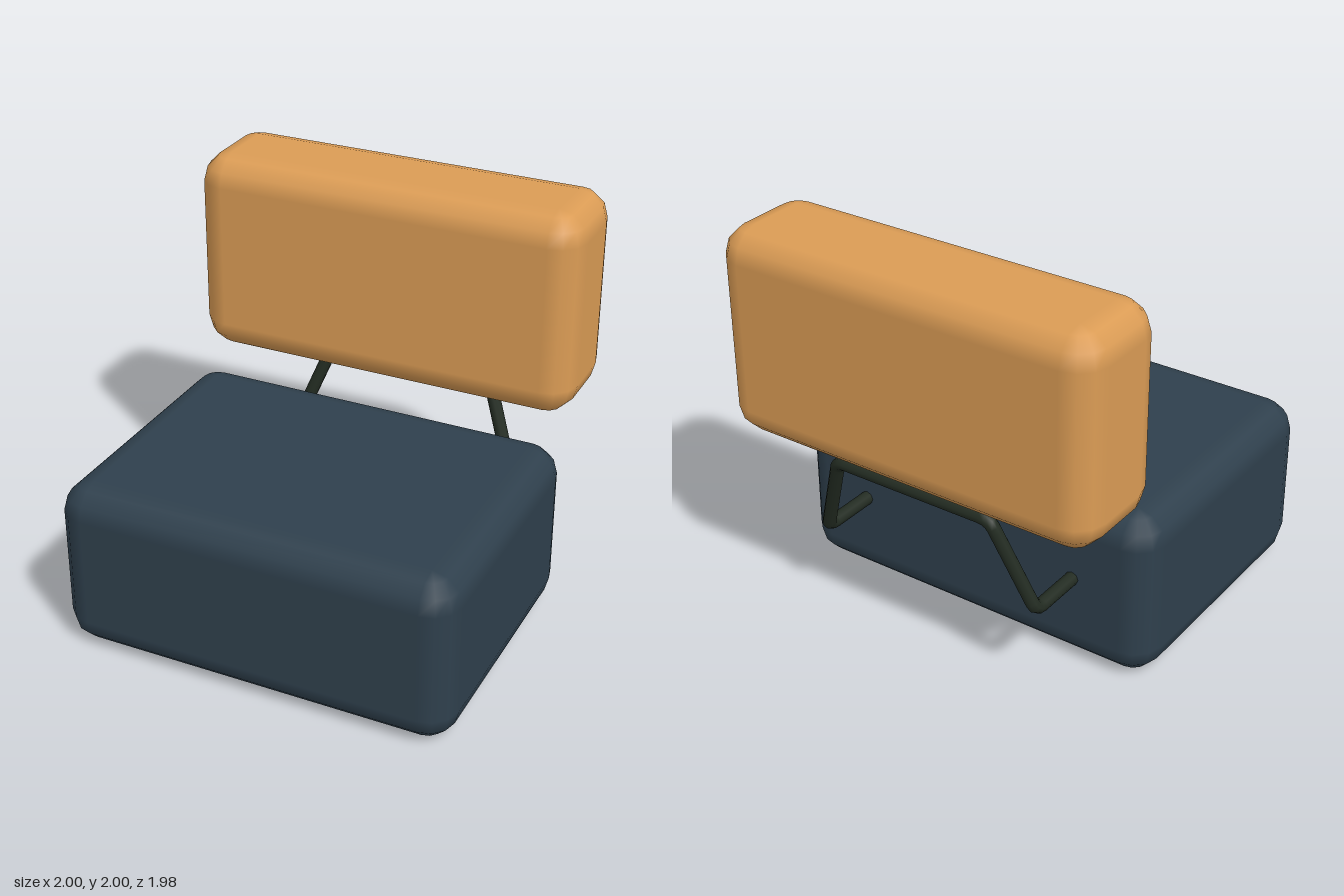
import * as THREE from 'three';

const seatBlue = new THREE.MeshStandardMaterial({ name: 'slateBlue', color: 0x2f404d });
const backTan = new THREE.MeshStandardMaterial({ name: 'tan', color: 0xdb9c55 });
const frameGreen = new THREE.MeshStandardMaterial({ name: 'darkGreen', color: 0x232c22 });

// Rounded block: stacked rounded-rectangle rings, each corner arc in three 30 degree steps
function cushionGeometry(w, h, d, r) {
  const pos = [], nor = [], idx = [];
  const step = Math.PI / 6;
  for (let row = 0; row < 8; row++) {
    const upper = row > 3;
    const lat = (upper ? row - 4 : row - 3) * step;
    for (let corner = 0; corner < 4; corner++) {
      const sx = corner === 0 || corner === 3 ? 1 : -1;
      const sz = corner < 2 ? 1 : -1;
      for (let k = 0; k < 4; k++) {
        const a = corner * Math.PI / 2 + k * step;
        const n = [Math.cos(lat) * Math.cos(a), Math.sin(lat), Math.cos(lat) * Math.sin(a)];
        nor.push(...n);
        pos.push(
          sx * (w / 2 - r) + n[0] * r,
          (upper ? 1 : -1) * (h / 2 - r) + n[1] * r,
          sz * (d / 2 - r) + n[2] * r
        );
      }
    }
  }
  for (let row = 0; row < 7; row++) {
    for (let j = 0; j < 16; j++) {
      const a = row * 16 + j, b = row * 16 + (j + 1) % 16;
      idx.push(a, a + 16, b, b, a + 16, b + 16);
    }
  }
  // flat bottom and top
  const t = 7 * 16;
  idx.push(0, 4, 8, 0, 8, 12, t, t + 8, t + 4, t, t + 12, t + 8);
  const g = new THREE.BufferGeometry();
  g.setAttribute('position', new THREE.Float32BufferAttribute(pos, 3));
  g.setAttribute('normal', new THREE.Float32BufferAttribute(nor, 3));
  g.setIndex(idx);
  return g;
}

// Straight runs joined by short rounded bends
function bentPath(points, bend) {
  const path = new THREE.CurvePath();
  let start = points[0];
  for (let i = 1; i < points.length - 1; i++) {
    const p = points[i];
    const before = p.clone().add(points[i - 1].clone().sub(p).setLength(bend));
    const after = p.clone().add(points[i + 1].clone().sub(p).setLength(bend));
    path.add(new THREE.LineCurve3(start, before));
    path.add(new THREE.QuadraticBezierCurve3(before, p, after));
    start = after;
  }
  path.add(new THREE.LineCurve3(start, points[points.length - 1]));
  return path;
}

export function createModel() {
  const model = new THREE.Group();
  model.name = 'cushionedSeat';

  const seat = new THREE.Mesh(cushionGeometry(2, 0.86, 1.465, 0.15), seatBlue);
  seat.name = 'seatCushion';
  seat.position.set(0, 0.43, 0.255);
  model.add(seat);

  const back = new THREE.Mesh(cushionGeometry(2, 1.04, 0.57, 0.15), backTan);
  back.name = 'backCushion';
  back.position.set(0, 1.48, -0.705);
  model.add(back);

  // One bent rod: out of the seat, up both legs and across under the back cushion
  const half = [[0.6, 0.462, -0.42], [0.6, 0.462, -0.77], [0.425, 0.93, -0.873]];
  const points = [
    ...half.map(([x, y, z]) => new THREE.Vector3(x, y, z)),
    ...half.slice().reverse().map(([x, y, z]) => new THREE.Vector3(-x, y, z)),
  ];
  const rod = new THREE.Mesh(new THREE.TubeGeometry(bentPath(points, 0.045), 100, 0.034, 8, false), frameGreen);
  rod.name = 'backSupportFrame';
  model.add(rod);

  return model;
}
